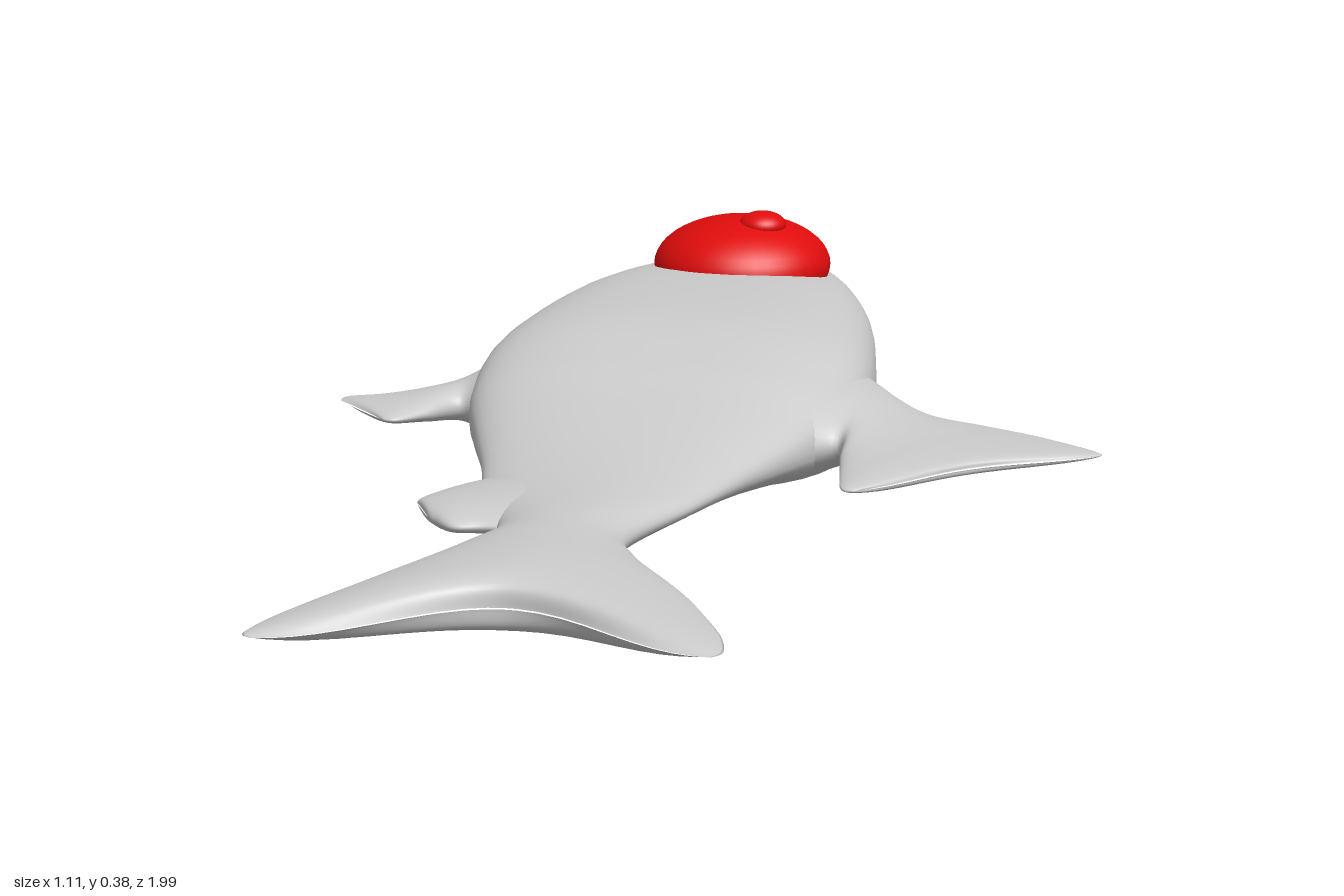
import * as THREE from 'three';

const MID = 0.192; // height of the fish's plane of symmetry
const grey = new THREE.MeshStandardMaterial({ color: 0xcccccc });
const red = new THREE.MeshStandardMaterial({ color: 0xe00c0c });

// Smooth interpolation between stations (uniform Catmull-Rom per component)
function sample(stations, t) {
  const last = stations.length - 1;
  const i = Math.min(Math.floor(t), last - 1), f = t - i;
  const at = (k) => stations[Math.max(0, Math.min(last, k))];
  const [p, q, r, s] = [at(i - 1), at(i), at(i + 1), at(i + 2)];
  return q.map((v, k) => v + 0.5 * f * (r[k] - p[k] +
    f * (2 * p[k] - 5 * v + 4 * r[k] - s[k] + f * (3 * (v - r[k]) + s[k] - p[k]))));
}

// Loft through flat rounded sections.
// Station: edge A x, z, edge B x, z, bow of the middle, half thickness, roundness
function loft(name, stations, steps = 8, sides = 48) {
  const pos = [], index = [];
  const rows = (stations.length - 1) * steps;
  const power = (v, e) => Math.sign(v) * Math.abs(v) ** e;
  for (let i = 0; i <= rows; i++) {
    const [ax, az, bx, bz, bow, h, n] = sample(stations, i / steps);
    const dx = (bx - ax) / 2, dz = (bz - az) / 2, len = Math.hypot(dx, dz);
    for (let j = 0; j < sides; j++) {
      const a = (j / sides) * Math.PI * 2;
      const t = power(Math.cos(a), 2 / n);
      const push = bow * (0.5 + 0.5 * Math.cos(Math.PI * t)) / len;
      pos.push((ax + bx) / 2 + dx * t - dz * push,
        MID + Math.max(h, 0.001) * power(Math.sin(a), 2 / n),
        (az + bz) / 2 + dz * t + dx * push);
      if (i < rows) {
        const k = i * sides, j2 = (j + 1) % sides;
        index.push(k + j, k + j2, k + sides + j2, k + j, k + sides + j2, k + sides + j);
      }
    }
  }
  const geo = new THREE.BufferGeometry();
  geo.setAttribute('position', new THREE.Float32BufferAttribute(pos, 3));
  geo.setIndex(index);
  geo.computeVertexNormals();
  const mesh = new THREE.Mesh(geo, grey);
  mesh.name = name;
  return mesh;
}

function ellipsoid(name, x, y, z, r, ry) {
  const mesh = new THREE.Mesh(new THREE.SphereGeometry(1, 40, 24), red);
  mesh.scale.set(r, ry, r);
  mesh.position.set(x, y, z);
  mesh.name = name;
  return mesh;
}

export function createModel() {
  const fish = new THREE.Group();
  fish.name = 'fish';

  // Body from the notched mouth to the forked tail
  fish.add(loft('bodyAndTail', [
    [-0.120, -0.997, -0.018, -0.997, 0.083, 0.001, 2.6],
    [-0.130, -0.995, -0.010, -0.995, 0.083, 0.034, 2.6],
    [-0.180, -0.926, 0.033, -0.926, 0.045, 0.058, 2.8],
    [-0.243, -0.790, 0.085, -0.790, 0, 0.082, 3],
    [-0.300, -0.635, 0.135, -0.635, 0, 0.102, 3],
    [-0.340, -0.450, 0.178, -0.450, 0, 0.115, 3],
    [-0.366, -0.200, 0.208, -0.200, 0, 0.115, 3],
    [-0.352, -0.030, 0.200, -0.030, 0, 0.092, 2.8],
    [-0.315, 0.100, 0.160, 0.100, 0, 0.066, 2.5],
    [-0.262, 0.260, 0.098, 0.260, 0, 0.043, 2.2],
    [-0.225, 0.400, 0.052, 0.400, 0, 0.033, 2],
    [-0.170, 0.550, 0.000, 0.550, 0, 0.034, 2],
    [-0.205, 0.650, 0.030, 0.640, -0.01, 0.037, 1.8],
    [-0.270, 0.770, 0.110, 0.760, -0.04, 0.040, 1.6],
    [-0.335, 0.900, 0.170, 0.880, -0.09, 0.037, 1.5],
    [-0.358, 0.975, 0.188, 0.945, -0.125, 0.026, 1.5],
    [-0.345, 0.993, 0.178, 0.968, -0.140, 0.001, 1.5],
  ]));

  // Large swept fin
  fish.add(loft('largeFin', [
    [0.120, 0.130, 0.150, -0.330, 0, 0.075, 2],
    [0.192, 0.072, 0.217, -0.215, 0, 0.048, 2],
    [0.205, 0.140, 0.300, -0.108, 0, 0.026, 2],
    [0.215, 0.210, 0.390, -0.067, -0.01, 0.018, 2],
    [0.225, 0.272, 0.470, -0.025, -0.02, 0.015, 2],
    [0.240, 0.283, 0.548, 0.035, -0.025, 0.010, 2],
    [0.257, 0.272, 0.543, 0.056, -0.025, 0.001, 2],
  ]));

  // Small fin on the opposite edge
  fish.add(loft('smallFin', [
    [-0.320, -0.260, -0.320, 0.000, 0, 0.065, 2],
    [-0.380, -0.165, -0.368, -0.048, 0, 0.032, 2],
    [-0.440, -0.125, -0.408, 0.000, 0, 0.020, 2],
    [-0.500, -0.095, -0.440, 0.036, 0, 0.013, 2],
    [-0.550, -0.080, -0.458, 0.038, 0, 0.008, 2],
    [-0.552, -0.058, -0.470, 0.028, 0, 0.001, 2],
  ]));

  // Little fin just ahead of the tail
  fish.add(loft('rearFin', [
    [-0.190, 0.290, -0.140, 0.530, 0, 0.028, 2],
    [-0.253, 0.350, -0.190, 0.530, 0, 0.021, 2],
    [-0.285, 0.392, -0.230, 0.537, 0, 0.016, 2],
    [-0.302, 0.425, -0.262, 0.508, 0, 0.010, 2],
    [-0.303, 0.435, -0.275, 0.490, 0, 0.001, 2],
  ]));

  // Bulging eye with a raised pupil on each flank
  for (const [side, s] of [['upper', 1], ['lower', -1]]) {
    fish.add(ellipsoid(side + 'Eye', -0.06, MID + s * 0.103, -0.637, 0.14, 0.076));
    fish.add(ellipsoid(side + 'Pupil', -0.024, MID + s * 0.171, -0.614, 0.037, 0.021));
  }
  return fish;
}
